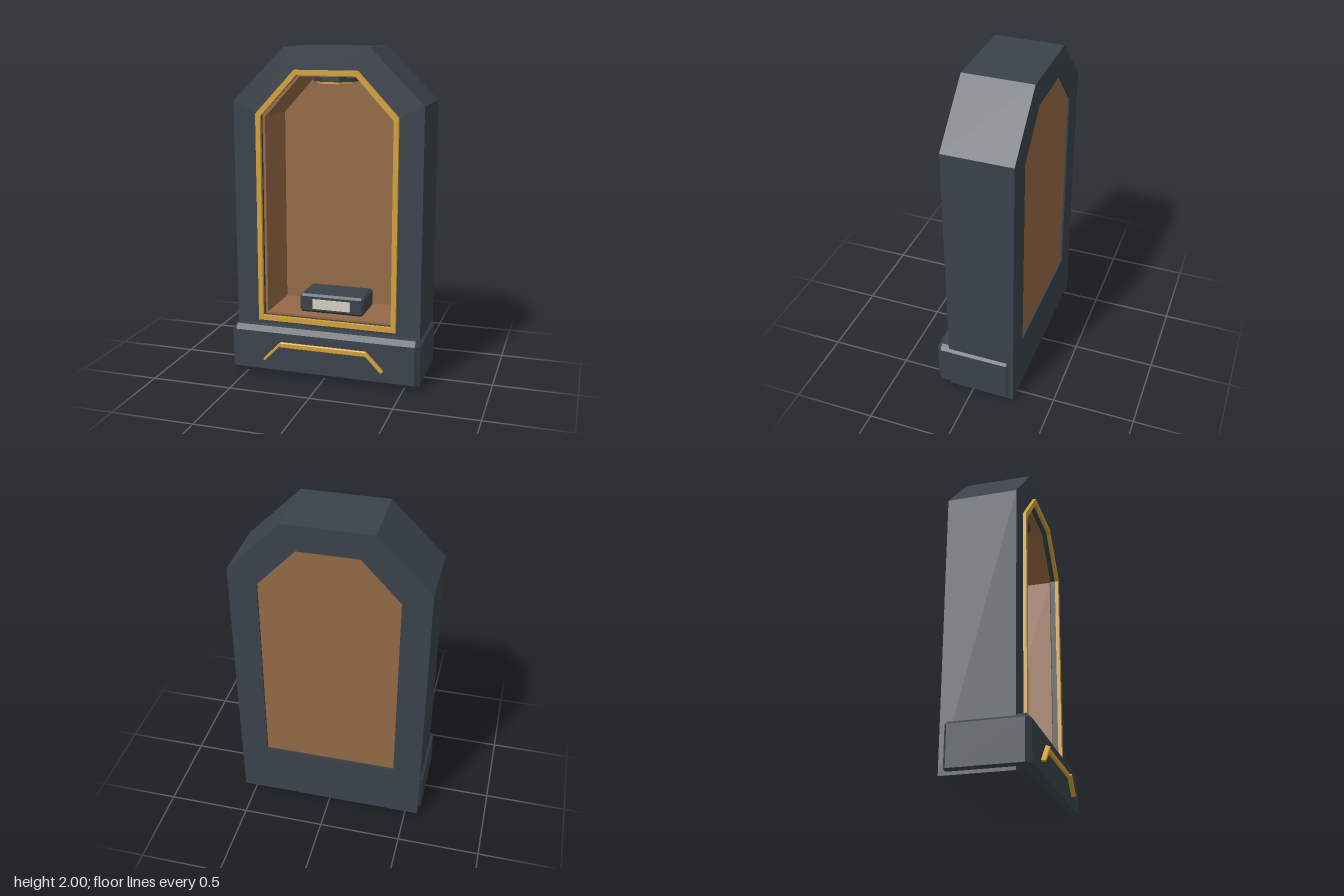
import * as THREE from 'three';
import { ConvexGeometry } from 'three/addons/geometries/ConvexGeometry.js';

const material = (color) => new THREE.MeshStandardMaterial({ color, flatShading: true });

// Symmetric arch outline with clipped shoulders
function archPoints(halfWidth, bottom, shoulder, topHalf, top) {
  return [
    [-halfWidth, bottom], [halfWidth, bottom], [halfWidth, shoulder],
    [topHalf, top], [-topHalf, top], [-halfWidth, shoulder],
  ].map(([x, y]) => new THREE.Vector2(x, y));
}

// Arch extruded between two depths, optionally with an arched hole
function archGeometry(outer, inner, back, front) {
  const shape = new THREE.Shape(archPoints(...outer));
  if (inner) shape.holes.push(new THREE.Path(archPoints(...inner)));
  const geometry = new THREE.ExtrudeGeometry(shape, { depth: front - back, bevelEnabled: false });
  return geometry.translate(0, 0, back);
}

// Box with every edge cut at 45 degrees
function chamferBox(width, height, depth, cut) {
  const [x, y, z] = [width / 2, height / 2, depth / 2];
  const points = [];
  for (const sx of [-1, 1]) for (const sy of [-1, 1]) for (const sz of [-1, 1]) {
    points.push(
      new THREE.Vector3(sx * x, sy * (y - cut), sz * (z - cut)),
      new THREE.Vector3(sx * (x - cut), sy * y, sz * (z - cut)),
      new THREE.Vector3(sx * (x - cut), sy * (y - cut), sz * z),
    );
  }
  return new ConvexGeometry(points);
}

export function createModel() {
  const group = new THREE.Group();
  const dark = material(0x3a424b);
  const gold = material(0xd4a23a);
  const wood = material(0x966a46);
  const ivory = material(0xd6d0c4);

  function add(name, geometry, mat, x = 0, y = 0, z = 0) {
    const mesh = new THREE.Mesh(geometry, mat);
    mesh.name = name;
    mesh.position.set(x, y, z);
    group.add(mesh);
    return mesh;
  }

  // Cabinet shell and its opening
  const opening = [0.41, 0.355, 1.6, 0.18, 1.845];
  const liningInner = [0.394, 0.367, 1.585, 0.173, 1.83];
  add('cabinetShell', archGeometry([0.58, 0, 1.68, 0.26, 2], opening, -0.262, 0.155), dark);

  // Wooden lining and back panel
  add('lining', archGeometry(opening, liningInner, -0.235, 0.12), wood);
  add('backPanel', archGeometry(opening, null, -0.25, -0.23), wood);

  // Gilded trim around the opening
  add('openingTrim', archGeometry([0.435, 0.33, 1.61, 0.192, 1.87],
    [0.405, 0.36, 1.595, 0.178, 1.84], 0.153, 0.175), gold);

  // Base with chamfered edges
  add('base', chamferBox(1.19, 0.3, 0.485, 0.03), dark, 0, 0.155, -0.0075);

  // Handle: crossbar and two slanted ends
  add('handleBar', chamferBox(0.55, 0.034, 0.02, 0.005), gold, 0, 0.203, 0.238);
  for (const side of [-1, 1]) {
    const end = add('handleEnd', chamferBox(0.15, 0.018, 0.032, 0.004), gold, side * 0.322, 0.155, 0.246);
    end.rotation.z = -side * 0.8;
  }

  // Display plinth with blank plate
  add('plinth', chamferBox(0.41, 0.118, 0.24, 0.014), dark, 0, 0.426, -0.06);
  add('plinthPlate', new THREE.BoxGeometry(0.24, 0.062, 0.012), ivory, 0, 0.425, 0.061);

  // Octagonal ceiling lamp
  const lampTurn = Math.PI / 8;
  add('lampHousing', new THREE.CylinderGeometry(0.138, 0.138, 0.035, 8).rotateY(lampTurn), dark, 0, 1.8145, -0.05);
  add('lampRing', new THREE.CylinderGeometry(0.115, 0.115, 0.014, 8).rotateY(lampTurn), gold, 0, 1.791, -0.05);

  return group;
}
